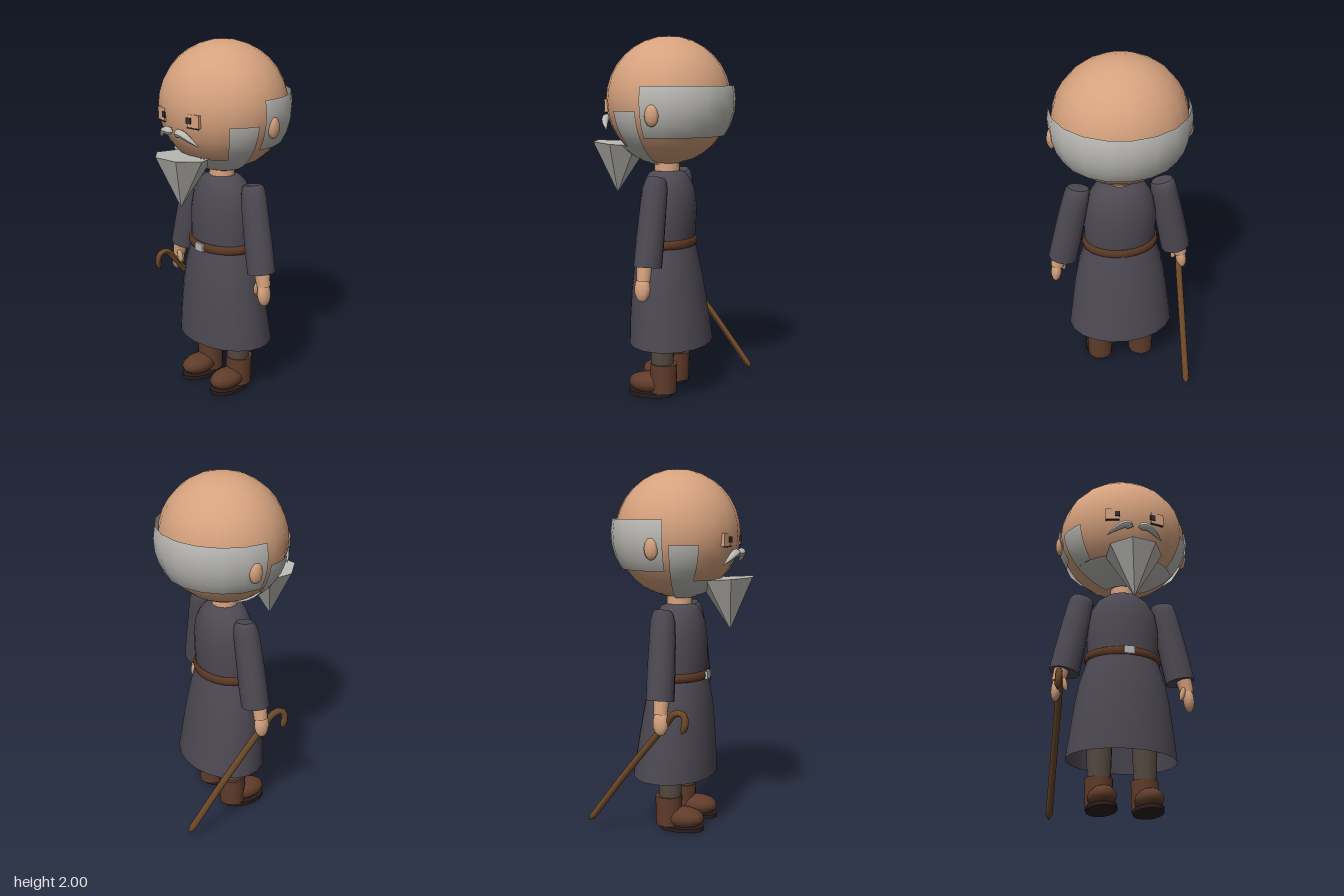
import * as THREE from 'three';

const mat = (name, color) => Object.assign(new THREE.MeshStandardMaterial({ color }), { name });
const rad = THREE.MathUtils.degToRad;

// Elliptical loft; rings run upwards as [y, rx, rz, centreZ, centreX]
function loft(rings, sides, caps = true) {
  const pos = [], idx = [];
  const ring = ([y, rx, rz, cz = 0, cx = 0]) => {
    for (let i = 0; i < sides; i++) {
      const a = (i / sides) * Math.PI * 2;
      pos.push(cx + Math.sin(a) * rx, y, cz + Math.cos(a) * rz);
    }
  };
  rings.forEach(ring);
  for (let r = 0; r < rings.length - 1; r++) {
    for (let i = 0; i < sides; i++) {
      const a = r * sides + i, b = r * sides + (i + 1) % sides;
      idx.push(a, b, b + sides, a, b + sides, a + sides);
    }
  }
  if (caps) {
    [rings[0], rings[rings.length - 1]].forEach((r, top) => {
      const s = pos.length / 3;
      ring(r);
      for (let i = 1; i < sides - 1; i++) idx.push(s, top ? s + i : s + i + 1, top ? s + i + 1 : s + i);
    });
  }
  const g = new THREE.BufferGeometry();
  g.setAttribute('position', new THREE.Float32BufferAttribute(pos, 3));
  g.setIndex(idx);
  g.computeVertexNormals();
  return g;
}

// Tube whose radius follows a rule of t in 0..1
function taperedTube(points, segments, sides, radius) {
  const curve = new THREE.CatmullRomCurve3(points.map(p => new THREE.Vector3(...p)));
  const g = new THREE.TubeGeometry(curve, segments, 1, sides);
  const p = g.attributes.position, v = new THREE.Vector3();
  for (let i = 0; i < p.count; i++) {
    const t = Math.floor(i / (sides + 1)) / segments, c = curve.getPointAt(t);
    v.fromBufferAttribute(p, i).sub(c).multiplyScalar(radius(t)).add(c);
    p.setXYZ(i, v.x, v.y, v.z);
  }
  g.computeVertexNormals();
  return g;
}

export function createModel() {
  const skin = mat('skin', 0xd6a27e);
  const hair = mat('grey hair', 0xbcbbb6);
  hair.side = THREE.DoubleSide;
  const robe = mat('robe cloth', 0x4d4953);
  robe.side = THREE.DoubleSide;
  const leather = mat('belt leather', 0x5c3824);
  const boot = mat('boot leather', 0x603c2a);
  const soleMat = mat('boot sole', 0x2a1c1c);
  const trousers = mat('trousers', 0x544a40);
  const wood = mat('cane wood', 0x6b4828);
  const metal = mat('buckle metal', 0xb8b8b8);
  const dark = mat('eye dark', 0x2e2e36);

  const model = new THREE.Group();
  const add = (name, geo, material, pos = [0, 0, 0], rot = [0, 0, 0]) => {
    const m = new THREE.Mesh(geo, material);
    m.name = name;
    m.position.set(...pos);
    m.rotation.set(...rot);
    model.add(m);
    return m;
  };
  const ball = (name, material, pos, r, rot, w = 12, h = 8) =>
    add(name, new THREE.SphereGeometry(1, w, h), material, pos, rot).scale.set(...r);

  // Head and neck
  const headAt = [0, 1.65, -0.01];
  ball('head', skin, headAt, [0.365, 0.35, 0.345], [0, 0, 0], 20, 16);
  add('neck', loft([[1.2, 0.075, 0.075], [1.34, 0.07, 0.07]], 12), skin);

  // Hair shells; azimuth is measured from the front towards the model's left
  const shell = (name, size, az, azLen, th, thLen, w, h) =>
    add(name, new THREE.SphereGeometry(1, w, h, Math.PI / 2 + rad(az), rad(azLen), rad(th), rad(thLen)),
      hair, headAt).scale.set(...size);
  shell('hairBand', [0.383, 0.36, 0.37], 83, 194, 77, 45, 10, 4);
  const beardSize = [0.374, 0.362, 0.358];
  shell('chinBeard', beardSize, -78, 156, 132, 33, 12, 4);
  shell('leftSideburn', beardSize, 52, 26, 98, 34, 3, 4);
  shell('rightSideburn', beardSize, -78, 26, 98, 34, 3, 4);

  // Pointed beard
  const coneGeo = new THREE.CylinderGeometry(0.16, 0.002, 0.28, 7).rotateY(rad(-15)).toNonIndexed();
  coneGeo.computeVertexNormals();
  add('pointedBeard', coneGeo, hair, [0, 1.27, 0.285], [-0.07, 0, 0]);

  // Belted robe, open at the hem
  add('robeSkirt', loft([
    [0.295, 0.305, 0.23, -0.025], [0.45, 0.285, 0.217, -0.015], [0.6, 0.265, 0.2, -0.007],
    [0.72, 0.242, 0.183, -0.002], [0.8, 0.216, 0.168], [0.86, 0.2, 0.155],
  ], 20, false), robe);
  add('robeTop', loft([
    [0.86, 0.2, 0.15], [0.95, 0.203, 0.155, -0.003], [1.06, 0.203, 0.158, -0.005], [1.16, 0.185, 0.145, -0.005],
    [1.22, 0.15, 0.12, -0.003], [1.25, 0.11, 0.1], [1.262, 0.075, 0.075],
  ], 20), robe);
  add('belt', loft([
    [0.842, 0.2, 0.155], [0.847, 0.213, 0.163], [0.866, 0.218, 0.167], [0.886, 0.213, 0.163], [0.892, 0.2, 0.155],
  ], 20), leather);
  add('buckle', new THREE.BoxGeometry(0.06, 0.044, 0.014), metal, [0, 0.867, 0.168]);

  for (const s of [1, -1]) {
    const side = s > 0 ? 'left' : 'right';

    // Face
    ball(side + 'Ear', skin, [s * 0.368, 1.58, -0.03], [0.025, 0.06, 0.04], [0, 0, 0], 8, 6);
    add(side + 'EyeSocket', new THREE.BoxGeometry(0.075, 0.07, 0.02), skin, [s * 0.128, 1.623, 0.305], [0, s * 0.2, 0]);
    add(side + 'Eye', new THREE.BoxGeometry(0.03, 0.032, 0.008), dark, [s * 0.102, 1.624, 0.321], [0, s * 0.2, 0]);
    add(side + 'LowerLid', new THREE.BoxGeometry(0.075, 0.007, 0.009), dark, [s * 0.128, 1.587, 0.313], [0, s * 0.2, 0]);
    add(side + 'Moustache', taperedTube([
      [s * 0.015, 1.543, 0.335], [s * 0.06, 1.55, 0.34], [s * 0.11, 1.525, 0.325], [s * 0.156, 1.49, 0.3],
    ], 8, 8, t => t === 0 ? 0.002 : 0.024 * (1 - t * t * 0.95)), hair);

    // Sleeve and hand
    add(side + 'Sleeve', loft([
      [-0.245, 0.084, 0.076, 0.005], [-0.1, 0.083, 0.076], [0.08, 0.078, 0.072, -0.005],
      [0.18, 0.074, 0.068, -0.01], [0.225, 0.069, 0.055, -0.012], [0.24, 0.06, 0.04, -0.012],
    ], 12), robe, [s * 0.28, 1.01, 0], [0, 0, s * 0.2]);
    add(side + 'Wrist', new THREE.CylinderGeometry(0.045, 0.038, 0.12, 10), skin, [s * 0.35, 0.76, 0.018], [0, 0, s * 0.22]);
    ball(side + 'Hand', skin, [s * 0.369, 0.662, 0.022], [0.031, 0.072, 0.044], [0, 0, s * 0.12], 10, 8);
    ball(side + 'Thumb', skin, [s * 0.33, 0.69, 0.04], [0.016, 0.045, 0.018], [0, 0, s * -0.25], 8, 6);

    // Leg and boot
    add(side + 'TrouserLeg', new THREE.CylinderGeometry(0.078, 0.063, 0.44, 12), trousers, [s * 0.125, 0.38, -0.012]);
    add(side + 'BootShaft', new THREE.CylinderGeometry(0.077, 0.073, 0.165, 12), boot, [s * 0.125, 0.105, -0.02]);
    ball(side + 'BootToe', boot, [s * 0.125, 0.068, 0.07], [0.076, 0.06, 0.118], [0, 0, 0], 12, 8);
    add(side + 'Sole', loft([[0, 0.08, 0.128, 0.057], [0.022, 0.08, 0.128, 0.057]], 14), soleMat);
    model.children[model.children.length - 1].position.x = s * 0.125;
  }

  // Crooked cane slanting back from the right hand
  add('cane', taperedTube([
    [-0.325, 0.06, -0.42], [-0.342, 0.38, -0.175], [-0.36, 0.65, 0.045],
    [-0.372, 0.715, 0.1], [-0.376, 0.72, 0.145], [-0.382, 0.675, 0.165], [-0.384, 0.61, 0.145],
  ], 36, 8, t => (t === 0 || t === 1) ? 0.001 : 0.019), wood);

  return model;
}
